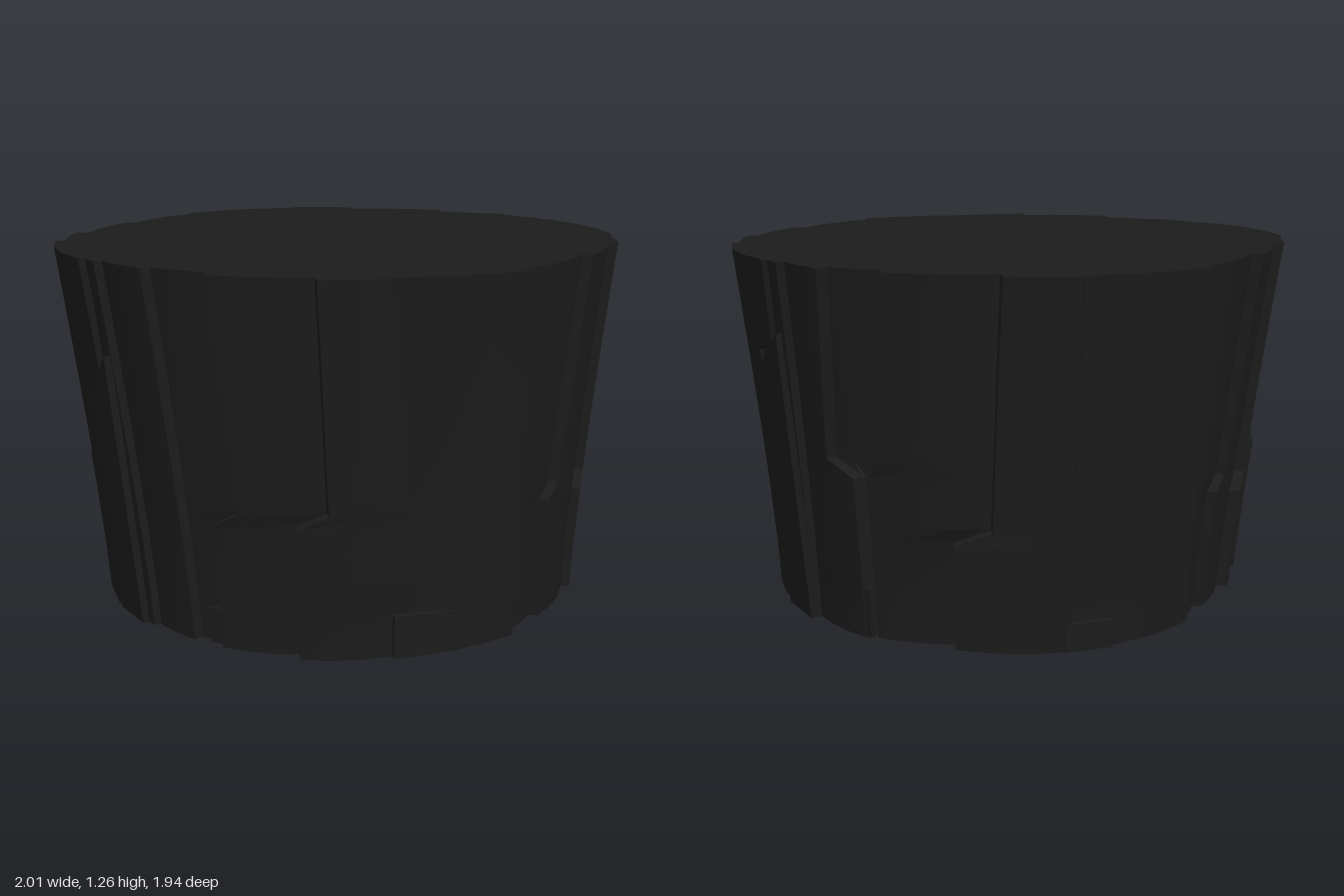
import * as THREE from 'three';
import { toCreasedNormals } from 'three/addons/utils/BufferGeometryUtils.js';

const HEIGHT = 1.26;
const JOG = 0.05;
const STEPS = 3;

// Seams between bark planks, counter-clockwise from the front:
// angle, radius before, radius after, angle shift at the foot, jog height, shift above the jog
const SEAMS = [
  [-0.12, 0.965, 0.95, 0.015, 0.12, 0.12],
  [0.35, 1, 0.96, 0.09],
  [0.77, 0.93, 0.965, -0.11, 0.43, -0.05],
  [1.1, 0.965, 1, -0.06, 0.38, 0.02],
  [1.34, 0.985, 1.01, -0.08, 0.62, 0],
  [1.84, 0.99, 0.975, -0.18, 0.93, -0.02],
  [1.93, 0.985, 0.96, -0.04],
  [2.14, 0.98, 0.94, 0.07, 0.57, -0.06],
  [2.36, 0.905, 0.955, -0.12, 0.57, -0.03],
  [2.77, 0.9, 0.95, -0.18, 0.37, -0.03],
  [3.03, 0.975, 0.955, 0.02],
  [3.53, 0.955, 0.93, 0.13],
  [3.94, 0.885, 0.92, -0.1, 0.43, -0.02],
  [4.29, 0.915, 0.96, -0.15, 0.37, -0.03],
  [4.53, 0.965, 1, -0.13, 0.5, 0],
  [5, 1, 0.98, 0.04],
  [5.08, 0.985, 0.96, 0.05],
  [5.31, 0.97, 0.935, 0.05],
  [5.55, 0.92, 0.975, -0.06, 0.43, 0.05],
  [5.92, 0.94, 0.99, -0.1, 0.45, 0.02],
];

// Rows of vertices at both ends of every jog, and through the upper curve
const LEVELS = [...new Set([0, 0.8, 1.1, HEIGHT, ...SEAMS.flatMap((s) => (s.length > 4 ? [s[4], s[4] + JOG] : []))])]
  .sort((a, b) => a - b);

// A seam keeps its foot shift up to the jog, then straightens out towards the top
function seamAngle([angle, , , foot, jog = 0, head = foot], y) {
  if (y <= jog) return angle + foot;
  if (y < jog + JOG) return angle + THREE.MathUtils.lerp(foot, head, (y - jog) / JOG);
  return angle + head * (HEIGHT - y) / (HEIGHT - jog - JOG);
}

// Place an angle and top radius at a height on the tapering trunk
function onTrunk(angle, radius, y) {
  const t = y / HEIGHT, r = radius * (0.86 + 0.14 * Math.pow(t, 1.2));
  return [Math.sin(angle) * r + 0.01 * (1 - t), y, Math.cos(angle) * r + 0.03 * (1 - t)];
}

// One horizontal section: every plank runs from its own seam to the next
function ringAt(y) {
  return SEAMS.flatMap((seam, p) => {
    const last = p === SEAMS.length - 1;
    const next = SEAMS[last ? 0 : p + 1];
    const from = seamAngle(seam, y) + 0.006;
    const to = seamAngle(next, y) + (last ? Math.PI * 2 : 0) - 0.006;
    return Array.from({ length: STEPS + 1 }, (_, i) => {
      const t = i / STEPS;
      const bulge = 0.012 * (to - from) * Math.sin(Math.PI * t);
      return onTrunk(from + (to - from) * t, THREE.MathUtils.lerp(seam[2], next[1], t) + bulge, y);
    });
  });
}

function geometryFrom(points) {
  const g = new THREE.BufferGeometry();
  g.setAttribute('position', new THREE.Float32BufferAttribute(points.flat(), 3));
  g.computeVertexNormals();
  return g;
}

// Raised bark chip: an outline in [angle, height] wrapped around the trunk
function barkChip(outline, outer) {
  const depth = 0.03;
  const shape = new THREE.Shape(outline.map(([a, y]) => new THREE.Vector2(a, y)));
  const g = new THREE.ExtrudeGeometry(shape, { depth, bevelEnabled: false });
  const pos = g.attributes.position;
  for (let i = 0; i < pos.count; i++) {
    pos.setXYZ(i, ...onTrunk(pos.getX(i), outer - depth + pos.getZ(i), pos.getY(i)));
  }
  g.computeVertexNormals();
  return g;
}

export function createModel() {
  const model = new THREE.Group();
  const charcoal = new THREE.MeshStandardMaterial({ color: 0x1c1c1c, side: THREE.DoubleSide });
  charcoal.name = 'charcoal';
  const add = (name, geometry) => {
    const mesh = new THREE.Mesh(geometry, charcoal);
    mesh.name = name;
    model.add(mesh);
  };

  // Stepped bark wall, open underneath
  const rings = LEVELS.map(ringAt);
  const n = rings[0].length;
  const wall = [];
  for (let k = 0; k < rings.length - 1; k++) {
    for (let i = 0; i < n; i++) {
      const j = (i + 1) % n;
      const a = rings[k][i], b = rings[k][j], c = rings[k + 1][j], d = rings[k + 1][i];
      wall.push(a, b, c, a, c, d);
    }
  }
  add('barkWall', toCreasedNormals(geometryFrom(wall), 0.35));

  // Flat cut top
  const top = rings[rings.length - 1];
  add('cutTop', geometryFrom(top.flatMap((p, i) => [[0, HEIGHT, 0], p, top[(i + 1) % n]])));

  // Loose chips around the foot and taller slabs on the sides:
  // name, start angle, angular width, height at the start, height at the end, outer radius
  add('frontChip', barkChip([[-0.1, 0], [0.13, 0], [0.36, 0], [0.35, 0.08], [0.32, 0.17], [0.32, 0.26], [0.17, 0.14], [-0.1, 0.15]], 0.99));
  for (const [name, angle, width, startHeight, endHeight, outer] of [
    ['leftChip', 2.1, 0.13, 0.17, 0.18, 0.975],
    ['rightChip', 5.42, 0.1, 0.12, 0.13, 0.95],
    ['backChip', 3.03, 0.2, 0.1, 0.1, 0.98],
    ['leftSlab', 1.67, 0.22, 0.87, 1.02, 1.005],
    ['rightSlab', 4.88, 0.2, 0.76, 0.95, 1.01],
  ]) {
    add(name, barkChip([[angle, 0], [angle + width, 0], [angle + width, endHeight], [angle, startHeight]], outer));
  }
  return model;
}
